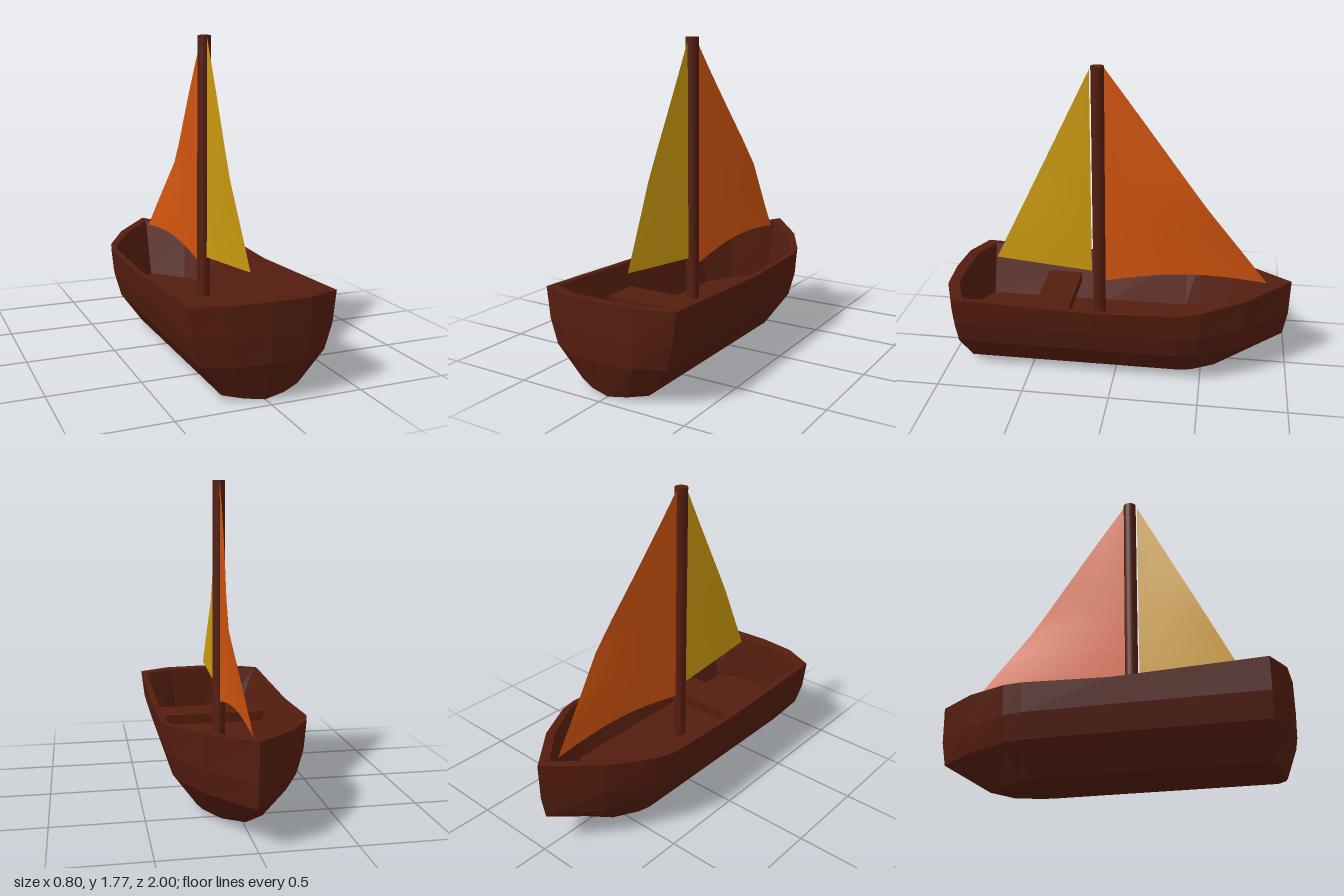
import * as THREE from 'three';

const paint = (color, opts = {}) => new THREE.MeshStandardMaterial({ color, ...opts });

// Height of the gunwale along the boat
function sheer(z) {
  return z > 0.1 ? 0.48 + 0.035 * ((z - 0.1) / 0.9) ** 2 : 0.48 + 0.07 * ((0.1 - z) / 1.1) ** 1.6;
}

// Mirrors a half outline [x, z] (stern to bow) into a closed ring of [x, y, z]
function ring(half, height) {
  const right = half.map(([x, z]) => [x, height(x, z), z]);
  const left = right.slice(1, -1).reverse().map(([x, y, z]) => [-x, y, z]);
  return [...right, ...left];
}

// Skins a stack of closed rings
function loft(rings) {
  const n = rings[0].length, index = [];
  for (let r = 0; r < rings.length - 1; r++) {
    for (let i = 0; i < n; i++) {
      const a = r * n + i, b = r * n + (i + 1) % n;
      index.push(a, b, b + n, a, b + n, a + n);
    }
  }
  const g = new THREE.BufferGeometry();
  g.setAttribute('position', new THREE.Float32BufferAttribute(rings.flat(2), 3));
  g.setIndex(index);
  const flat = g.toNonIndexed();
  flat.computeVertexNormals();
  return flat;
}

// Three-cornered sail [z, y] with a bellied leech and an arched foot
function sail(head, tack, clew, belly, arch) {
  const rows = 8, cols = 8, pos = [], index = [];
  const lerp = THREE.MathUtils.lerp;
  for (let r = 0; r <= rows; r++) {
    const t = r / rows;
    for (let c = 0; c <= cols; c++) {
      const s = c / cols;
      const z = lerp(head[0], lerp(tack[0], clew[0], s), t);
      const y = lerp(head[1], lerp(tack[1], clew[1], s), t) + arch * Math.sin(Math.PI * s) * t ** 5;
      const fullness = t < 0.6 ? (t / 0.6) ** 1.3 : ((1 - t) / 0.4) ** 1.1;
      pos.push(belly * fullness * s ** 1.5, y, z);
      if (r < rows && c < cols) {
        const a = r * (cols + 1) + c, b = a + cols + 1;
        index.push(a, b, b + 1, a, b + 1, a + 1);
      }
    }
  }
  const g = new THREE.BufferGeometry();
  g.setAttribute('position', new THREE.Float32BufferAttribute(pos, 3));
  g.setIndex(index);
  g.computeVertexNormals();
  return g;
}

export function createModel() {
  const boat = new THREE.Group();
  boat.name = 'sailboat';
  const wood = paint(0x541d0f, { flatShading: true, side: THREE.DoubleSide });

  const add = (name, geometry, material, x = 0, y = 0, z = 0) => {
    const mesh = new THREE.Mesh(geometry, material);
    mesh.name = name;
    mesh.position.set(x, y, z);
    boat.add(mesh);
  };

  // Hull outlines, each from stern centre to bow
  const bottom = [[0, 0.93], [0.11, 0.915], [0.21, 0.87], [0.21, 0.1], [0.21, -0.38], [0.19, -0.45], [0.11, -0.58], [0, -0.68]];
  const chine = [[0, 0.995], [0.19, 0.98], [0.34, 0.905], [0.34, 0.1], [0.34, -0.38], [0.32, -0.48], [0.2, -0.72], [0, -0.97]];
  const side = [[0, 1], [0.21, 0.985], [0.38, 0.91], [0.38, 0.1], [0.38, -0.38], [0.355, -0.49], [0.22, -0.74], [0, -0.995]];
  const gunwale = [[0, 1], [0.22, 0.985], [0.4, 0.91], [0.4, 0.1], [0.4, -0.38], [0.37, -0.49], [0.23, -0.74], [0, -1]];
  const innerRim = [[0, 0.935], [0.2, 0.925], [0.365, 0.855], [0.365, 0.1], [0.365, -0.38], [0.335, -0.47], [0.2, -0.7], [0, -0.92]];
  const floor = [[0, 0.93], [0.16, 0.915], [0.265, 0.855], [0.265, 0.1], [0.265, -0.38], [0.26, -0.47], [0.17, -0.63], [0, -0.82]];
  const centreline = (half) => half.map(([, z]) => [0, z]);
  const keelRise = (z) => 0.03 * Math.max(0, (-0.38 - z) / 0.3);

  add('hull', loft([
    ring(centreline(bottom), (x, z) => keelRise(z)),
    ring(bottom, (x, z) => Math.max(keelRise(z), Math.min(0.03, x / 7))),
    ring(chine, () => 0.205),
    ring(side, () => 0.34),
    ring(gunwale, (x, z) => sheer(z)),
    ring(innerRim, (x, z) => sheer(z)),
    ring(floor, () => 0.2),
    ring(centreline(floor), () => 0.2),
  ]), wood);

  // Bench across the stern half
  add('bench', new THREE.BoxGeometry(0.65, 0.06, 0.21), wood, 0, 0.325, 0.395);

  // Mast
  add('mast', new THREE.CylinderGeometry(0.037, 0.037, 1.575, 20), paint(0x541d0f), 0, 0.9875, 0.125);

  // Sails
  add('mainSail', sail([0.09, 1.77], [0.09, 0.48], [-0.86, 0.53], 0.06, 0.05),
    paint(0xd2540e, { side: THREE.DoubleSide }));
  add('rearSail', sail([0.17, 1.755], [0.17, 0.54], [0.745, 0.595], -0.02, 0),
    paint(0xcc9a10, { side: THREE.DoubleSide }));

  return boat;
}
